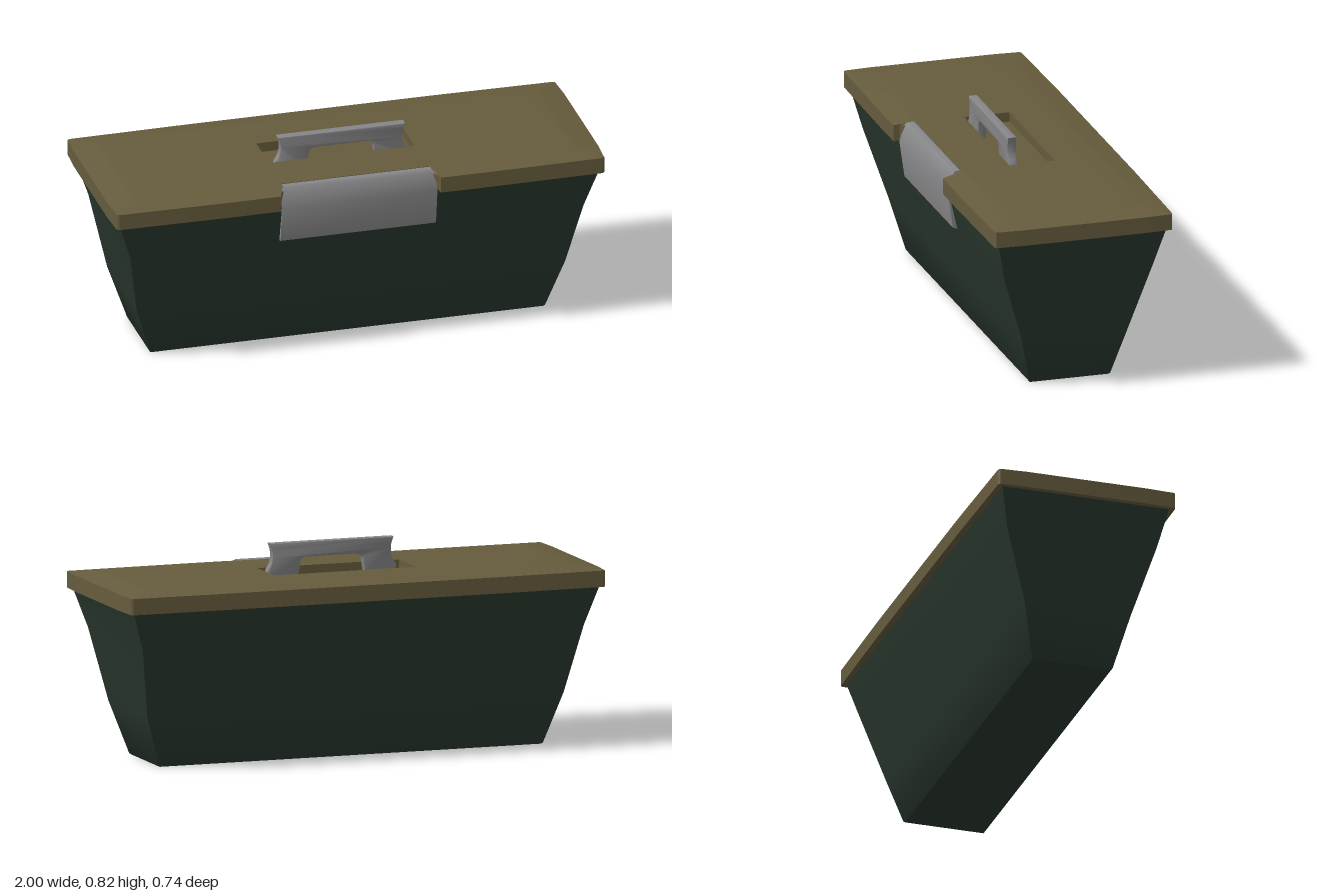
import * as THREE from 'three';
import { mergeGeometries, toCreasedNormals } from 'three/addons/utils/BufferGeometryUtils.js';

const paint = (name, color) => new THREE.MeshStandardMaterial({ name, color, side: THREE.DoubleSide });

// Rectangle outline as [x, z] corners
const rect = (x0, x1, z0, z1) => [[x0, z0], [x1, z0], [x1, z1], [x0, z1]];

// Strips of faces between closed rings of [x, y, z] points, listed bottom to top
function loft(rings) {
  const pos = [];
  for (let k = 0; k + 1 < rings.length; k++) {
    const lo = rings[k], hi = rings[k + 1];
    lo.forEach((a, i) => {
      const j = (i + 1) % lo.length;
      pos.push(...a, ...hi[i], ...hi[j], ...a, ...hi[j], ...lo[j]);
    });
  }
  const g = new THREE.BufferGeometry();
  g.setAttribute('position', new THREE.Float32BufferAttribute(pos, 3));
  g.computeVertexNormals();
  return g;
}

// Flat horizontal face, optionally with a hole
function cap(points, y, up, hole) {
  const s = up ? -1 : 1;
  const v = (list) => list.map(([x, z]) => new THREE.Vector2(x, s * z));
  const shape = new THREE.Shape(v(points));
  if (hole) shape.holes.push(new THREE.Path(v(hole)));
  const g = new THREE.ShapeGeometry(shape).rotateX(s * Math.PI / 2).translate(0, y, 0).toNonIndexed();
  g.deleteAttribute('uv');
  return g;
}

const atY = (points, y) => points.map(([x, z]) => [x, y, z]);

export function createModel() {
  const group = new THREE.Group();
  const green = paint('dark green', 0x29382e);
  const olive = paint('olive', 0x665c3d);
  const grey = paint('grey metal', 0x868688);
  const add = (name, geometry, material) => {
    const mesh = new THREE.Mesh(geometry, material);
    mesh.name = name;
    group.add(mesh);
  };

  // Tapered box body: [y, half width, half depth]
  const sections = [[0, 0.8, 0.162], [0.006, 0.806, 0.167], [0.21, 0.873, 0.219],
    [0.49, 0.925, 0.308], [0.65, 0.977, 0.346]];
  const bodyRings = sections.map(([y, w, d]) => atY(rect(-w, w, -d, d), y));
  const body = mergeGeometries([
    loft(bodyRings),
    cap(rect(-0.8, 0.8, -0.162, 0.162), 0, false),
    cap(rect(-0.977, 0.977, -0.346, 0.346), 0.65, true),
  ]);
  add('body', toCreasedNormals(body, 0.5), green);

  // Lid: slightly bowed rim with a notch at the front for the latch
  const right = [[0.5, -0.372], [0.985, -0.366], [0.994, -0.36], [1, -0.25], [1, 0.25], [0.994, 0.36],
    [0.985, 0.366], [0.5, 0.371], [0.325, 0.37], [0.322, 0.345], [0.302, 0.325], [0.3, 0.285]];
  const outline = [...right, ...right.map(([x, z]) => [-x, z]).reverse()];
  const isNotch = ([x, z]) => z === 0.285;
  const inner = ([x, z]) => [
    Math.abs(x) > 0.9 ? Math.sign(x) * 0.9 : (z > 0 && Math.abs(x) < 0.33 ? Math.sign(x) * 0.3 : x),
    Math.max(-0.285, Math.min(0.285, z)),
  ];
  const shoulder = outline.map((p) => [p[0], isNotch(p) ? 0.724 : 0.71, p[1]]);
  const crown = outline.map((p) => { const [x, z] = inner(p); return [x, 0.724, z]; });
  const opening = rect(-0.297, 0.297, -0.1, 0.087);
  const lid = mergeGeometries([
    loft([atY(outline, 0.645), shoulder, crown]),
    cap(rect(-0.9, 0.9, -0.285, 0.285), 0.724, true, opening),
    cap(outline, 0.645, false),
  ]);
  add('lid', toCreasedNormals(lid, 0.25), olive);

  // Sunken tray under the handle
  const tray = mergeGeometries([
    loft([atY(opening, 0.724), atY(opening, 0.685)]),
    cap(opening, 0.685, true),
  ]);
  add('handleRecess', tray, olive);

  // Carrying handle: a flared arch standing in the recess
  const arch = new THREE.Shape();
  arch.moveTo(-0.27, 0.685);
  arch.lineTo(-0.268, 0.715);
  arch.quadraticCurveTo(-0.23, 0.765, -0.257, 0.823);
  arch.lineTo(0.257, 0.823);
  arch.quadraticCurveTo(0.23, 0.765, 0.268, 0.715);
  arch.lineTo(0.27, 0.685);
  arch.lineTo(0.142, 0.685);
  arch.lineTo(0.134, 0.74);
  arch.quadraticCurveTo(0.13, 0.767, 0.11, 0.767);
  arch.lineTo(-0.11, 0.767);
  arch.quadraticCurveTo(-0.13, 0.767, -0.134, 0.74);
  arch.lineTo(-0.142, 0.685);
  const handle = new THREE.ExtrudeGeometry(arch, {
    depth: 0.026, curveSegments: 6, bevelThickness: 0.005, bevelSize: 0.004, bevelOffset: -0.002, bevelSegments: 2,
  }).translate(0, 0, 0.05);
  add('handle', toCreasedNormals(handle, 0.7), grey);

  // Front latch: a bent plate profile in z and y, run along x
  const profile = [[0.286, 0.66], [0.286, 0.722], [0.295, 0.727], [0.316, 0.725], [0.326, 0.715],
    [0.348, 0.645], [0.327, 0.497], [0.302, 0.488], [0.3, 0.52], [0.32, 0.645]];
  const half = 0.317;
  const latch = new THREE.ExtrudeGeometry(new THREE.Shape(profile.map(([z, y]) => new THREE.Vector2(z, y))),
    { depth: 2 * half, bevelEnabled: false }).rotateY(-Math.PI / 2).translate(half, 0, 0);
  const p = latch.attributes.position;
  for (let i = 0; i < p.count; i++) {
    if (p.getZ(i) < 0.32 && p.getY(i) > 0.7) p.setX(i, p.getX(i) * 0.95);
  }
  latch.computeVertexNormals();
  add('latch', toCreasedNormals(latch, 0.6), grey);

  return group;
}
